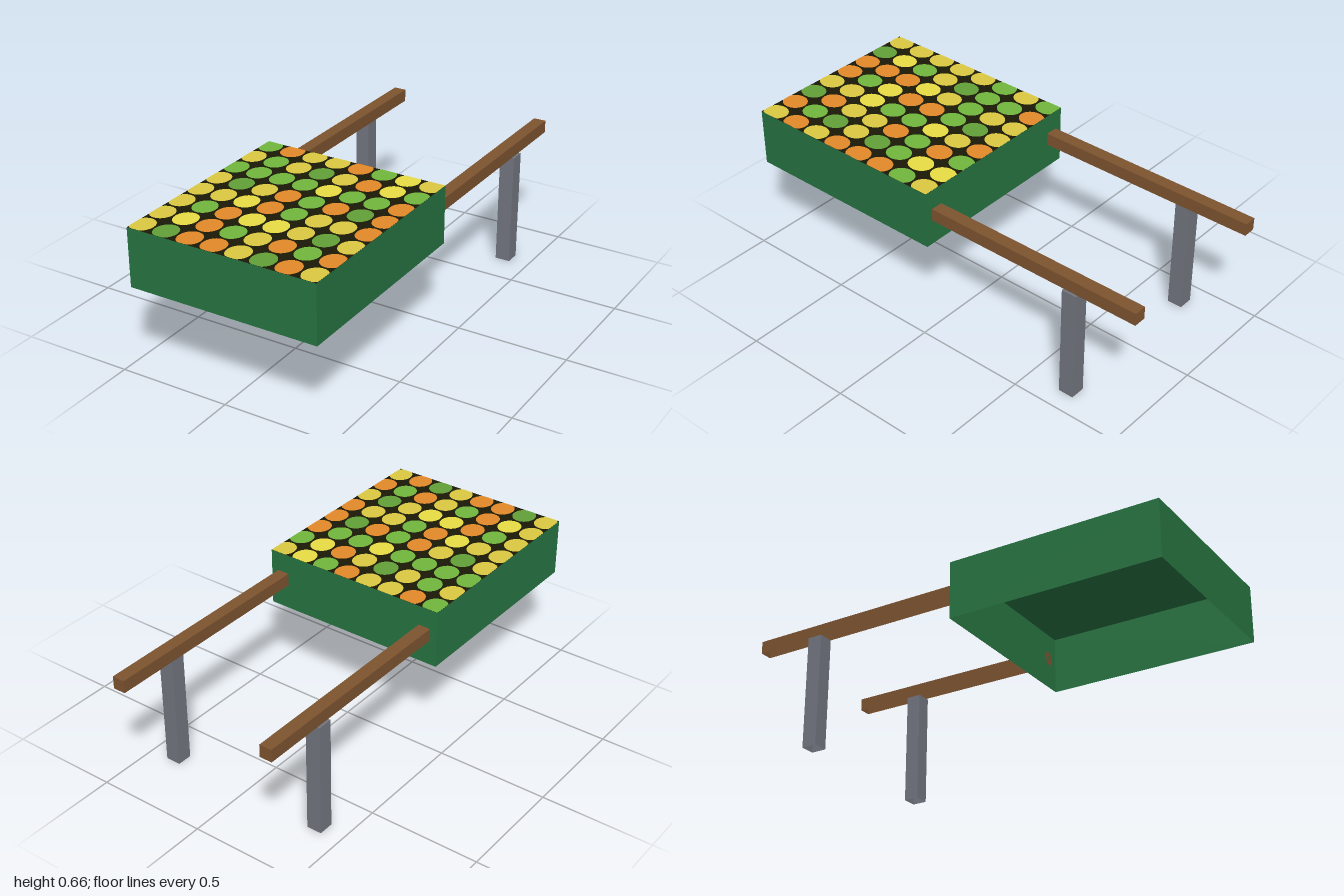
import * as THREE from 'three';

const mat = (name, color, side = THREE.FrontSide) => {
  const m = new THREE.MeshStandardMaterial({ color, side });
  m.name = name;
  return m;
};

// Box between two corners with its underside left open
function openBox(name, material, [x0, y0, z0], [x1, y1, z1]) {
  const g = new THREE.BoxGeometry(x1 - x0, y1 - y0, z1 - z0);
  const idx = Array.from(g.index.array);
  idx.splice(18, 6); // the bottom face
  g.setIndex(idx);
  g.clearGroups();
  g.translate((x0 + x1) / 2, (y0 + y1) / 2, (z0 + z1) / 2);
  const mesh = new THREE.Mesh(g, material);
  mesh.name = name;
  return mesh;
}

export function createModel() {
  const model = new THREE.Group();
  model.name = 'produceCart';

  const green = mat('crate green', 0x267341, THREE.DoubleSide);
  const brown = mat('handle wood', 0x7d532f, THREE.DoubleSide);
  const grey = mat('leg grey', 0x72757f, THREE.DoubleSide);
  const dark = mat('dark gaps', 0x1a1806);
  const fruit = {
    g: mat('light green fruit', 0x70b53c),
    d: mat('deep green fruit', 0x629f37),
    y: mat('ochre fruit', 0xdac740),
    b: mat('bright yellow fruit', 0xe8dc44),
    o: mat('orange fruit', 0xe28828),
  };

  // Crate, hollow from below
  const W = 0.434, Z0 = 0.03, Z1 = 1, TOP = 0.662;
  model.add(openBox('crate', green, [-W, 0.4, Z0], [W, TOP, Z1]));

  // Dark sheet that shows between the fruit
  const sheet = new THREE.Mesh(new THREE.PlaneGeometry(2 * W, Z1 - Z0).rotateX(-Math.PI / 2), dark);
  sheet.name = 'fruitBed';
  sheet.position.set(0, TOP + 0.001, (Z0 + Z1) / 2);
  model.add(sheet);

  // Fruit discs in rows from back to front, trimmed at the crate edge
  const rows = ['goyyogby', 'ygydyobg', 'ggggbggo', 'ydyogodo',
    'yybogyyo', 'ygobbydy', 'ybogyogo', 'ydooydoy'];
  const fruits = new THREE.Group();
  fruits.name = 'fruits';
  rows.forEach((row, r) => [...row].forEach((key, c) => {
    const cx = -0.396 + 0.1131 * c, cz = 0.071 + 0.1253 * r;
    const g = new THREE.CircleGeometry(1, 24).rotateX(-Math.PI / 2);
    g.scale(0.052, 1, 0.058);
    g.translate(cx, TOP + 0.002, cz);
    const p = g.attributes.position;
    for (let i = 0; i < p.count; i++) {
      p.setX(i, THREE.MathUtils.clamp(p.getX(i), -W, W));
      p.setZ(i, THREE.MathUtils.clamp(p.getZ(i), Z0, Z1));
    }
    const disc = new THREE.Mesh(g, fruit[key]);
    disc.name = 'fruit';
    fruits.add(disc);
  }));
  model.add(fruits);

  // Handles and rear legs, one pair per side
  for (const [side, s] of [['left', 1], ['right', -1]]) {
    const pair = (a, b) => [Math.min(s * a, s * b), Math.max(s * a, s * b)];
    const [h0, h1] = pair(0.343, 0.4);
    const [l0, l1] = pair(0.343, 0.411);
    model.add(openBox(side + 'Handle', brown, [h0, 0.516, -1], [h1, 0.573, Z0]));
    model.add(openBox(side + 'Leg', grey, [l0, 0, -0.726], [l1, 0.516, -0.657]));
  }
  return model;
}
